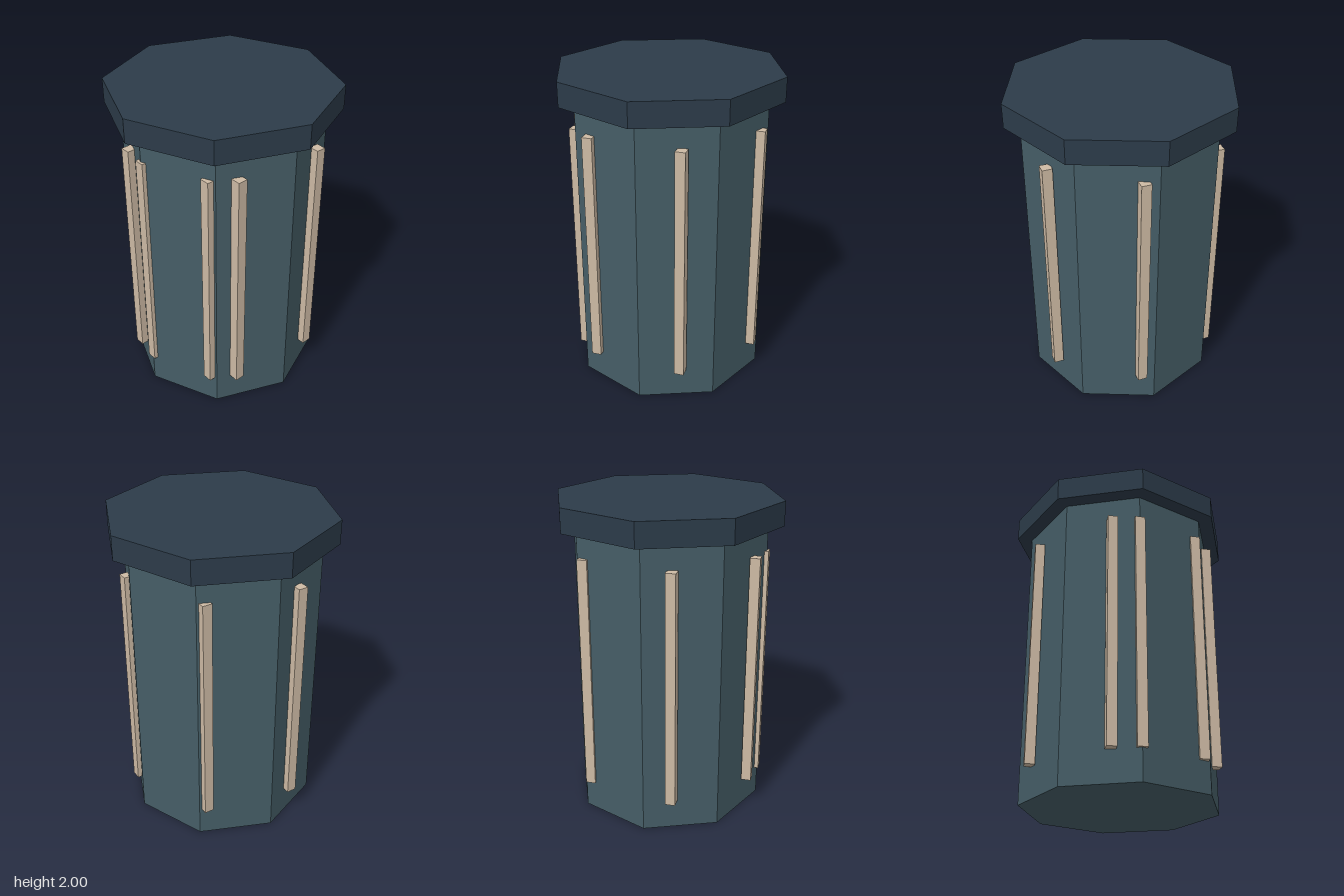
import * as THREE from 'three';

export function createModel() {
  const model = new THREE.Group();
  const material = (color) => new THREE.MeshStandardMaterial({ color, flatShading: true });
  const add = (name, geometry, mat, x, y, z) => {
    const mesh = new THREE.Mesh(geometry, mat);
    mesh.name = name;
    mesh.position.set(x, y, z);
    model.add(mesh);
  };

  const capBottom = 1.848;

  // Octagonal body and overhanging lid, corners on the axes
  add('body', new THREE.CylinderGeometry(0.619, 0.619, capBottom, 8), material(0x455d66), 0, capBottom / 2, 0);
  add('lid', new THREE.CylinderGeometry(0.715, 0.715, 2 - capBottom, 8), material(0x2c3b49), 0, (capBottom + 2) / 2, 0);

  // Eight upright square strips, stepped one radian apart around the body
  const stripGeometry = new THREE.BoxGeometry(0.062, 1.5, 0.062);
  const stripMaterial = material(0xcdbaa4);
  for (let i = 0; i < 8; i++) {
    add(`strip${i + 1}`, stripGeometry, stripMaterial, 0.601 * Math.sin(i), 0.945, 0.601 * Math.cos(i));
  }

  return model;
}
